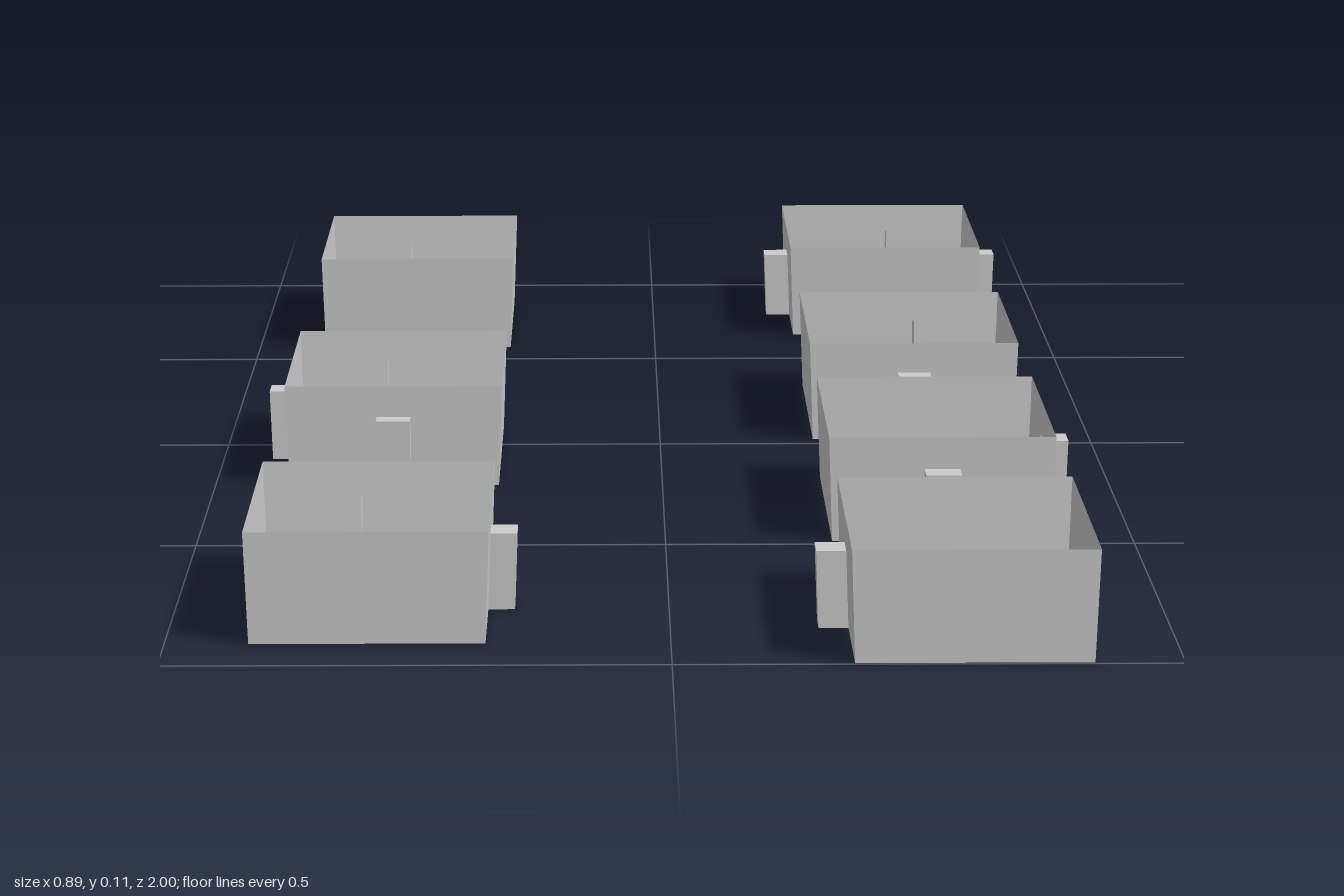
import * as THREE from 'three';

const HALF_W = 0.117, HALF_D = 0.156; // room half size at the floor
const HEIGHT = 0.114, FLARE = 0.004; // walls lean slightly outwards
const DOOR_W = 0.038, DOOR_H = 0.079;

const material = new THREE.MeshStandardMaterial({
  color: 0xcccccc, flatShading: true, side: THREE.DoubleSide,
});

// Lean a geometry outwards (+z) with height
function lean(geometry) {
  const p = geometry.attributes.position;
  for (let i = 0; i < p.count; i++) p.setZ(i, p.getZ(i) + (p.getY(i) * FLARE) / HEIGHT);
  geometry.computeVertexNormals();
  return geometry;
}

// Thin wall panel facing +z, with an optional doorway cut into its base
function wallGeometry(half, hasDoor) {
  const d = DOOR_W / 2;
  const points = [[-half, 0]];
  if (hasDoor) points.push([-d, 0], [-d, DOOR_H], [d, DOOR_H], [d, 0]);
  points.push([half, 0], [half + FLARE, HEIGHT], [-half - FLARE, HEIGHT]);
  const shape = new THREE.Shape(points.map(([x, y]) => new THREE.Vector2(x, y)));
  return lean(new THREE.ShapeGeometry(shape));
}

// Door alcove: a box outside the wall, open towards the room
function alcoveGeometry(depth) {
  const box = new THREE.BoxGeometry(DOOR_W, DOOR_H, depth);
  box.translate(0, DOOR_H / 2, depth / 2);
  box.setIndex(Array.from(box.index.array).slice(0, 30)); // drop the inner face
  box.clearGroups();
  return lean(box);
}

const SIDES = [
  { name: 'front', angle: 0, half: HALF_W, offset: HALF_D },
  { name: 'left', angle: Math.PI / 2, half: HALF_D, offset: HALF_W },
  { name: 'back', angle: Math.PI, half: HALF_W, offset: HALF_D },
  { name: 'right', angle: -Math.PI / 2, half: HALF_D, offset: HALF_W },
];

// doors: side name -> how far its alcove projects from the wall
function createRoom(doors) {
  const room = new THREE.Group();
  for (const { name, angle, half, offset } of SIDES) {
    const side = new THREE.Group();
    side.name = name + 'Side';
    side.rotation.y = angle;
    const wall = new THREE.Mesh(wallGeometry(half, name in doors), material);
    wall.name = name + 'Wall';
    wall.position.z = offset;
    side.add(wall);
    if (name in doors) {
      const alcove = new THREE.Mesh(alcoveGeometry(doors[name]), material);
      alcove.name = name + 'DoorAlcove';
      alcove.position.z = offset;
      side.add(alcove);
    }
    room.add(side);
  }
  return room;
}

export function createModel() {
  const model = new THREE.Group();
  model.name = 'rooms';
  // Two staggered columns of rooms: x, z, doors
  const rooms = [
    [-0.3, -0.732, { back: 0.037 }],
    [-0.3, 0.057, { back: 0.027, front: 0.024, right: 0.027 }],
    [-0.3, 0.76, { back: 0.028, left: 0.027 }],
    [0.295, -0.809, { back: 0.033, left: 0.03, right: 0.03 }],
    [0.295, -0.182, { back: 0.037, front: 0.028 }],
    [0.295, 0.33, { front: 0.031, left: 0.027 }],
    [0.295, 0.84, { right: 0.03 }],
  ];
  rooms.forEach(([x, z, doors], i) => {
    const room = createRoom(doors);
    room.name = 'room' + (i + 1);
    room.position.set(x, 0, z);
    model.add(room);
  });
  return model;
}
